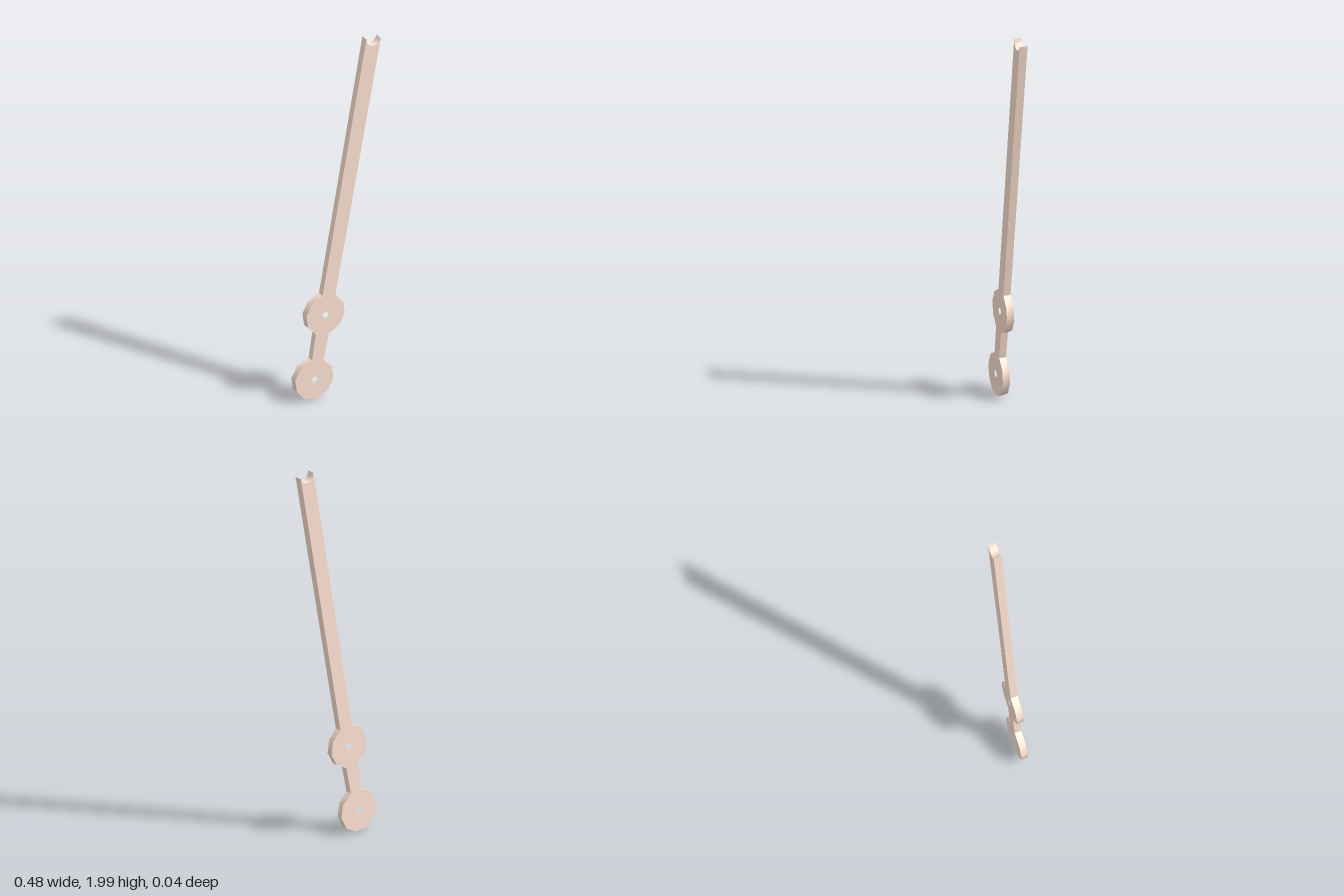
import * as THREE from 'three';
import { toCreasedNormals } from 'three/addons/utils/BufferGeometryUtils.js';

const TILT = THREE.MathUtils.degToRad(10);
const R = 0.113;        // disc radius
const UPPER = 0.361;    // distance between disc centres
const LENGTH = 1.9;     // lower disc centre to forked tip
const BACK = -0.022;

// Points along a faceted arc; angles in degrees clockwise from the arm's axis
function arc(cy, r, from, to, segments) {
  return Array.from({ length: segments + 1 }, (_, i) => {
    const a = THREE.MathUtils.degToRad(from + (to - from) * i / segments);
    return new THREE.Vector2(r * Math.sin(a), cy + r * Math.cos(a));
  });
}

export function createModel() {
  // Clockwise outline: lower disc, neck, upper disc, long arm and concave tip
  const outline = [
    ...arc(0, R, 17, 343, 9),
    ...arc(UPPER, R, -161, -19, 4),
    ...arc(LENGTH + 0.003, 0.041, -94, -266, 5),
    ...arc(UPPER, R, 19, 161, 4),
  ];
  const shape = new THREE.Shape(outline);

  // Square pivot holes
  for (const cy of [0, UPPER]) {
    shape.holes.push(new THREE.Path(arc(cy, 0.021, 0, 270, 3)));
  }

  const geometry = new THREE.ExtrudeGeometry(shape, { depth: 1, bevelEnabled: false });

  // Front face slopes gently thicker towards the tip; disc rims have a slight draft
  const p = geometry.attributes.position;
  for (let i = 0; i < p.count; i++) {
    let x = p.getX(i), y = p.getY(i);
    const front = p.getZ(i) > 0.5;
    if (front) {
      for (const cy of [0, UPPER]) {
        if (Math.abs(Math.hypot(x, y - cy) - R) < 0.003 && Math.abs(x) > 0.045) {
          x *= 0.97;
          y = cy + (y - cy) * 0.97;
        }
      }
    }
    p.setXYZ(i, x, y, front ? 0.014 + 0.0065 * Math.max(0, y) / LENGTH : BACK);
  }

  // Tilt, then centre and stand on the ground
  geometry.rotateZ(-TILT);
  geometry.computeBoundingBox();
  const b = geometry.boundingBox;
  geometry.translate(-(b.min.x + b.max.x) / 2, -b.min.y, -(b.min.z + b.max.z) / 2);

  const arm = new THREE.Mesh(
    toCreasedNormals(geometry, THREE.MathUtils.degToRad(42)),
    new THREE.MeshStandardMaterial({ color: 0xffe4d4 })
  );
  arm.name = 'linkArm';

  const group = new THREE.Group();
  group.name = 'forkedLinkArm';
  group.add(arm);
  return group;
}
